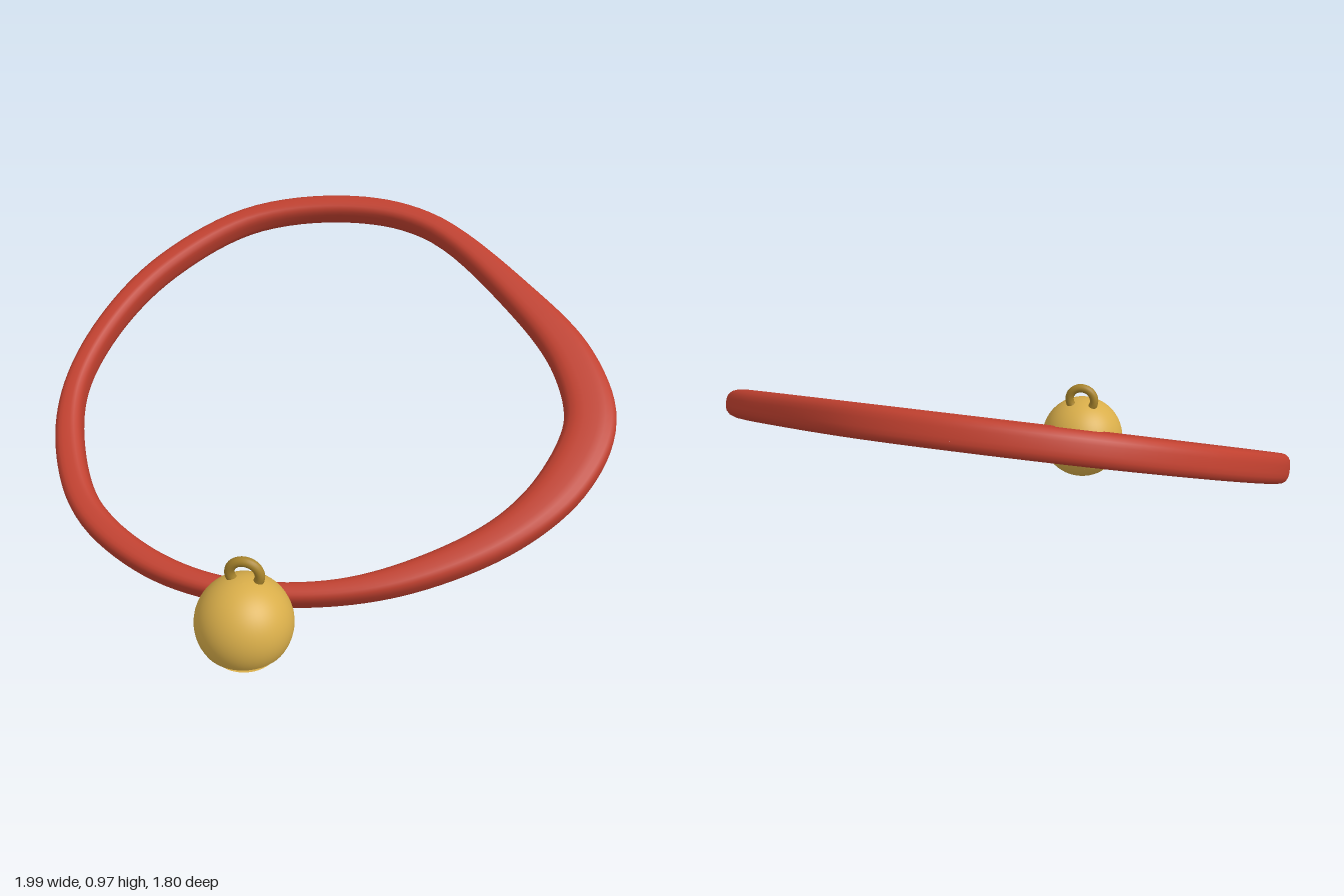
import * as THREE from 'three';
import { ParametricGeometry } from 'three/addons/geometries/ParametricGeometry.js';

const TILT = 0.456;
const red = new THREE.MeshStandardMaterial({ color: 0xc0402f });
const gold = new THREE.MeshStandardMaterial({ color: 0xd9ae4a });
const goldDouble = new THREE.MeshStandardMaterial({ color: 0xd9ae4a, side: THREE.DoubleSide });
const darkGold = new THREE.MeshStandardMaterial({ color: 0xa8842c });

function add(parent, name, geometry, material) {
  const mesh = new THREE.Mesh(geometry, material);
  mesh.name = name;
  parent.add(mesh);
  return mesh;
}

// Closed band: centre line x, z (plan) and radial width at each station
function bandGeometry() {
  const stations = [
    [-0.085, -0.847, 0.085], [-0.475, -0.758, 0.085], [-0.757, -0.523, 0.09],
    [-0.905, -0.265, 0.085], [-0.957, 0, 0.085], [-0.905, 0.225, 0.1],
    [-0.77, 0.43, 0.1], [-0.515, 0.573, 0.09], [-0.22, 0.628, 0.075],
    [0.11, 0.596, 0.075], [0.39, 0.5, 0.1], [0.678, 0.32, 0.13],
    [0.845, 0.115, 0.17], [0.905, -0.1, 0.18], [0.82, -0.315, 0.16],
    [0.605, -0.535, 0.12], [0.225, -0.8, 0.085],
  ];
  // The y component carries the width along the curve
  const curve = new THREE.CatmullRomCurve3(
    stations.map(([x, z, w]) => new THREE.Vector3(x, w, z / Math.cos(TILT))), true);
  const halfHeight = 0.052;
  return new ParametricGeometry((u, v, target) => {
    const p = curve.getPoint(u);
    const t = curve.getTangent(u).setY(0).normalize();
    const a = v * Math.PI * 2, c = Math.cos(a), s = Math.sin(a);
    const rho = Math.pow(Math.abs(c) ** 3 + Math.abs(s) ** 3, -1 / 3);
    const out = rho * c * p.y / 2;
    target.set(p.x - t.z * out, rho * s * halfHeight, p.z + t.x * out);
  }, 128, 24);
}

// Solid piece of a sphere between two heights, with flat ends
function sphereSlice(R, y0, y1) {
  const a0 = Math.asin(y0 / R), a1 = Math.asin(y1 / R);
  const arc = [];
  for (let i = 0; i <= 24; i++) {
    const a = a0 + (a1 - a0) * i / 24;
    arc.push(new THREE.Vector2(Math.max(0, R * Math.cos(a)), R * Math.sin(a)));
  }
  return new THREE.LatheGeometry(arc, 48);
}

function disc(parent, name, R, y, facing) {
  const mesh = add(parent, name, new THREE.CircleGeometry(Math.sqrt(R * R - y * y), 48), gold);
  mesh.rotation.x = -facing * Math.PI / 2;
  mesh.position.y = y;
}

function createBell() {
  const bell = new THREE.Group();
  bell.name = 'bell';
  const R = 0.165, top = -0.08, bottom = -0.122, depth = 0.065;

  // Upper dome and lower cup, separated by the slot
  add(bell, 'bellDome', sphereSlice(R, top, R), gold);
  disc(bell, 'slotCeiling', R, top, -1);
  add(bell, 'bellCup', sphereSlice(R, -R, bottom), gold);
  disc(bell, 'slotFloor', R, bottom, 1);

  // Rear bridge joining dome and cup
  const heightAt = (v) => bottom + (top - bottom) * v;
  const radiusAt = (y) => Math.sqrt(R * R - y * y);
  add(bell, 'bridgeShell', new ParametricGeometry((u, v, target) => {
    const y = heightAt(v), r = radiusAt(y);
    const a = (2 * u - 1) * Math.acos(depth / r);
    target.set(r * Math.sin(a), y, -r * Math.cos(a));
  }, 24, 6), goldDouble);
  add(bell, 'slotBackWall', new ParametricGeometry((u, v, target) => {
    const y = heightAt(v), r = radiusAt(y);
    target.set((2 * u - 1) * Math.sqrt(r * r - depth * depth), y, -depth);
  }, 4, 6), goldDouble);

  // Hanging loop
  add(bell, 'bellLoop', new THREE.TorusGeometry(0.051, 0.017, 16, 40), darkGold)
    .position.set(0, 0.178, -0.03);

  bell.position.set(-0.128, 0.167, 0.735);
  return bell;
}

export function createModel() {
  const model = new THREE.Group();
  model.name = 'collarWithBell';
  const band = add(model, 'collarBand', bandGeometry(), red);
  band.rotation.x = TILT;
  band.position.y = 0.502;
  model.add(createBell());
  return model;
}
